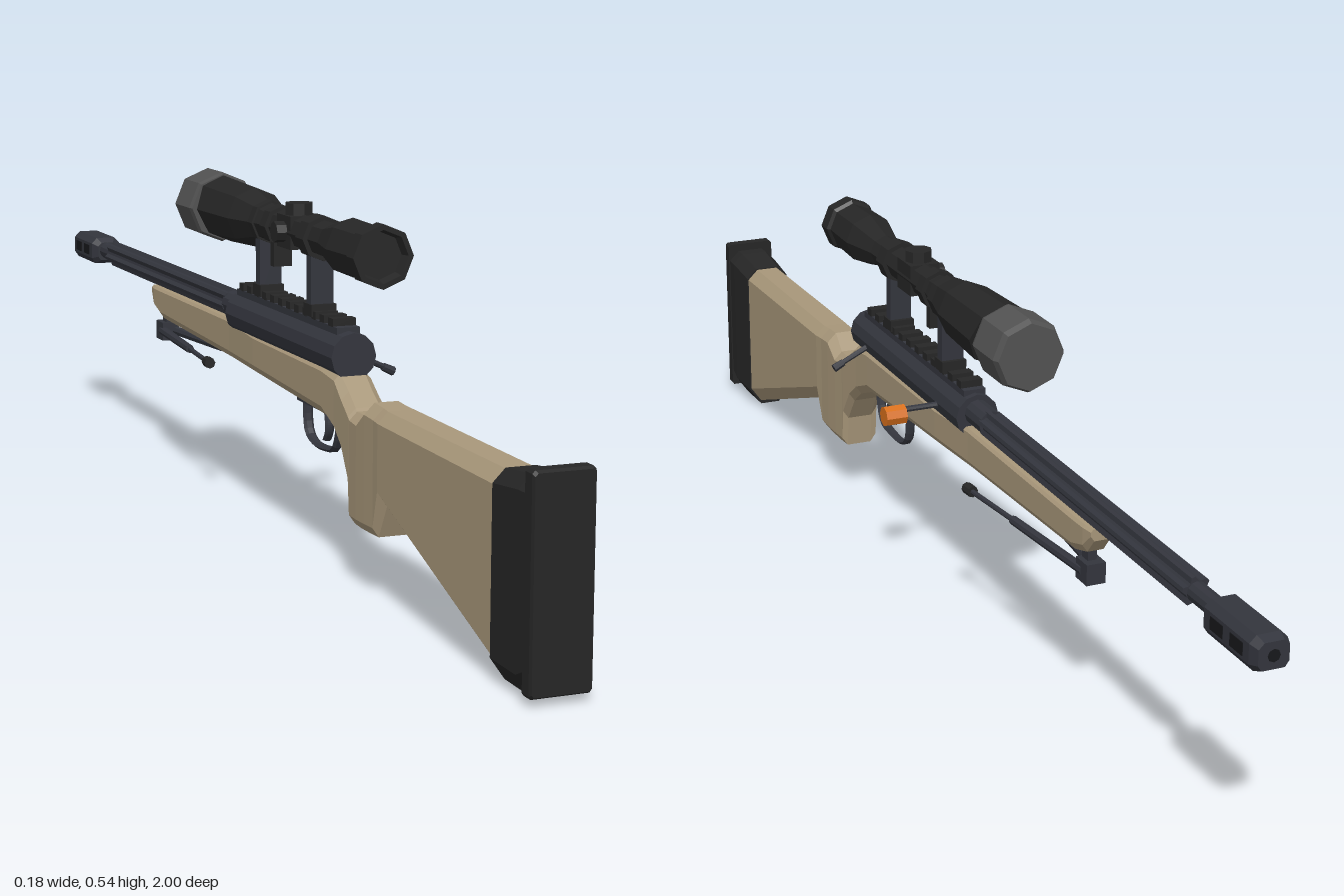
import * as THREE from 'three';

const mat = (color) => new THREE.MeshStandardMaterial({ color, flatShading: true });
const TAN = mat(0xa8977a), STEEL = mat(0x33353d), BLACK = mat(0x262626);
const PORT = mat(0x17181b), GREY = mat(0x525252), ORANGE = mat(0xd9701c);

// Loft through rings of equal length; stations run from +z to -z, rings counter-clockwise seen from +z
function loft(rings) {
  const pos = [], n = rings[0].length;
  const tri = (a, b, c) => pos.push(...a, ...b, ...c);
  for (let s = 0; s < rings.length - 1; s++) {
    const A = rings[s], B = rings[s + 1];
    for (let i = 0; i < n; i++) {
      const j = (i + 1) % n;
      tri(A[i], B[i], B[j]);
      tri(A[i], B[j], A[j]);
    }
  }
  const F = rings[0], L = rings[rings.length - 1];
  for (let i = 1; i < n - 1; i++) {
    tri(F[0], F[i], F[i + 1]);
    tri(L[0], L[i + 1], L[i]);
  }
  const g = new THREE.BufferGeometry();
  g.setAttribute('position', new THREE.Float32BufferAttribute(pos, 3));
  g.computeVertexNormals();
  return g;
}

// Chamfered rectangular section: z, top, bottom, half width, top chamfer, bottom chamfer
function section([z, t, b, w, ct, cb]) {
  return [[w, b + cb, z], [w, t - ct, z], [w - ct, t, z], [ct - w, t, z],
    [-w, t - ct, z], [-w, b + cb, z], [cb * 0.7 - w, b, z], [w - cb * 0.7, b, z]];
}

export function createModel() {
  const root = new THREE.Group();
  root.name = 'scopedRifle';
  root.position.x = -0.034;
  const model = new THREE.Group();
  model.add(root);

  const add = (name, geo, material, x = 0, y = 0, z = 0, parent = root) => {
    const m = new THREE.Mesh(geo, material);
    m.name = name;
    m.position.set(x, y, z);
    parent.add(m);
    return m;
  };
  const box = (w, h, d) => new THREE.BoxGeometry(w, h, d);
  const cylZ = (r, len, n) => new THREE.CylinderGeometry(r, r, len, n).rotateX(-Math.PI / 2);
  const latheZ = (pts, n) => new THREE.LatheGeometry(
    pts.map(([z, r]) => new THREE.Vector2(r, -z)), n).rotateX(-Math.PI / 2);
  // Round rod between two points
  const rod = (name, a, b, ra, rb, material, n = 8) => {
    const p = new THREE.Vector3(...a), q = new THREE.Vector3(...b), d = q.clone().sub(p);
    const m = add(name, new THREE.CylinderGeometry(rb, ra, d.length(), n), material);
    m.position.copy(p).addScaledVector(d, 0.5);
    m.quaternion.setFromUnitVectors(new THREE.Vector3(0, 1, 0), d.normalize());
    return m;
  };

  // Stock with grip and fore-end
  add('stock', loft([
    [0.88, 0.273, 0.01, 0.037, 0.018, 0.026],
    [0.515, 0.277, 0.143, 0.036, 0.016, 0.022],
    [0.495, 0.278, 0.095, 0.034, 0.016, 0.014],
    [0.463, 0.28, 0.094, 0.034, 0.016, 0.014],
    [0.432, 0.256, 0.093, 0.033, 0.014, 0.014],
    [0.403, 0.256, 0.093, 0.031, 0.012, 0.014],
    [0.398, 0.26, 0.145, 0.031, 0.012, 0.014],
    [0.37, 0.279, 0.187, 0.03, 0.012, 0.014],
    [0.34, 0.3, 0.21, 0.029, 0.01, 0.014],
    [0.29, 0.306, 0.23, 0.029, 0.01, 0.014],
    [0, 0.306, 0.243, 0.027, 0.008, 0.013],
    [-0.12, 0.31, 0.247, 0.023, 0.004, 0.012],
    [-0.48, 0.31, 0.258, 0.022, 0.004, 0.012],
    [-0.515, 0.31, 0.268, 0.021, 0.004, 0.012],
    [-0.535, 0.31, 0.292, 0.018, 0.004, 0.008],
  ].map(section)), TAN);

  // Butt end and recoil pad
  add('buttBlock', loft([
    [0.98, 0.283, 0.015, 0.041, 0.018, 0.03],
    [0.955, 0.283, 0.003, 0.041, 0.018, 0.03],
    [0.88, 0.275, 0.003, 0.039, 0.018, 0.03],
  ].map(section)), BLACK);
  add('recoilPad', loft([
    [1, 0.294, 0.016, 0.041, 0.004, 0.004],
    [0.995, 0.297, 0.013, 0.043, 0.004, 0.004],
    [0.977, 0.297, 0.013, 0.043, 0.004, 0.004],
  ].map(section)), BLACK);

  // Receiver and toothed rail
  add('receiver', cylZ(0.035, 0.45, 12), STEEL, 0, 0.324, 0.12);
  add('railBase', box(0.036, 0.012, 0.42), STEEL, 0, 0.358, 0.115);
  for (let i = 0; i < 12; i++) add('railTooth', box(0.036, 0.012, 0.018), BLACK, 0, 0.369, 0.3 - i * 0.034);

  // Barrel: plain root, fluted length, thin neck
  add('barrelRoot', cylZ(0.021, 0.06, 12), STEEL, 0, 0.33, -0.13);
  const flute = new THREE.Shape();
  for (let i = 0; i < 24; i++) {
    const a = (i + 0.5) / 24 * Math.PI * 2, r = i % 4 < 2 ? 0.022 : 0.016;
    flute[i ? 'lineTo' : 'moveTo'](r * Math.cos(a), r * Math.sin(a));
  }
  add('flutedBarrel', new THREE.ExtrudeGeometry(flute, { depth: 0.65, bevelEnabled: false }), STEEL, 0, 0.33, -0.805);
  add('barrelNeck', cylZ(0.015, 0.08, 12), STEEL, 0, 0.33, -0.84);

  // Muzzle brake with side ports
  add('muzzleBrake', loft([
    [-0.86, 0.345, 0.312, 0.018, 0.007, 0.007],
    [-0.872, 0.353, 0.305, 0.027, 0.01, 0.01],
    [-0.985, 0.353, 0.305, 0.027, 0.01, 0.01],
    [-1, 0.348, 0.31, 0.022, 0.008, 0.008],
  ].map(section)), STEEL);
  for (const s of [-1, 1]) for (const z of [-0.905, -0.955]) add('brakePort', box(0.004, 0.018, 0.032), PORT, s * 0.026, 0.329, z);
  add('bore', cylZ(0.009, 0.004, 8), PORT, 0, 0.329, -0.999);

  // Scope body with a slanted front end
  const scope = new THREE.Group();
  scope.name = 'scope';
  scope.position.y = 0.482;
  root.add(scope);
  const body = latheZ([[0.435, 0], [0.435, 0.034], [0.45, 0.038], [0.45, 0.046], [0.425, 0.046], [0.42, 0.041],
    [0.34, 0.043], [0.27, 0.027], [0.04, 0.026], [0, 0.033], [-0.06, 0.047], [-0.19, 0.052], [-0.19, 0]], 8);
  const p = body.attributes.position;
  for (let i = 0; i < p.count; i++) {
    if (p.getZ(i) < -0.18) p.setZ(i, p.getZ(i) - p.getY(i) * 0.36);
  }
  add('scopeBody', body, BLACK, 0, 0, 0, scope);
  add('objectiveCore', cylZ(0.03, 0.08, 8), BLACK, 0, 0, -0.18, scope);
  add('objectiveCap', latheZ([[-0.207, 0], [-0.207, 0.054], [-0.215, 0.057], [-0.285, 0.057],
    [-0.295, 0.052], [-0.295, 0]], 8), GREY, 0, 0, 0, scope);
  // Adjustment turrets
  add('turretBlock', box(0.05, 0.05, 0.055), BLACK, 0, 0, 0.13, scope);
  add('topTurret', new THREE.CylinderGeometry(0.022, 0.022, 0.04, 8), BLACK, 0, 0.023, 0.13, scope);
  add('sideTurret', new THREE.CylinderGeometry(0.016, 0.016, 0.03, 8).rotateZ(Math.PI / 2), BLACK, -0.026, 0, 0.13, scope);
  // Rings and posts
  for (const z of [0.215, 0]) {
    add('scopeRing', cylZ(0.034, 0.03, 8), BLACK, 0, 0, z, scope);
    add('scopePost', box(0.036, 0.1, 0.018), STEEL, 0, -0.07, z, scope);
    add('postFoot', box(0.04, 0.018, 0.032), BLACK, 0, -0.107, z, scope);
  }
  add('middleRing', cylZ(0.032, 0.024, 8), BLACK, 0, 0, 0.055, scope);
  add('middleLug', box(0.03, 0.04, 0.014), BLACK, 0, -0.043, 0.055, scope);

  // Charging handle with bright knob, and bolt lever
  rod('handleRod', [0.03, 0.32, -0.025], [0.095, 0.32, -0.025], 0.005, 0.005, STEEL);
  rod('handleKnob', [0.089, 0.313, -0.025], [0.123, 0.313, -0.025], 0.016, 0.016, ORANGE);
  rod('boltLever', [0.025, 0.317, 0.283], [0.088, 0.288, 0.279], 0.005, 0.004, STEEL);
  rod('leverTip', [0.074, 0.294, 0.28], [0.091, 0.286, 0.279], 0.006, 0.007, STEEL);

  // Trigger guard and trigger
  const strip = (pts, r) => new THREE.TubeGeometry(new THREE.CatmullRomCurve3(
    pts.map(([z, y]) => new THREE.Vector3(0, y, z))), 20, r, 6).scale(1.8, 1, 1);
  add('triggerGuard', strip([[0.3, 0.238], [0.295, 0.205], [0.28, 0.177], [0.25, 0.17],
    [0.2, 0.17], [0.175, 0.182], [0.167, 0.21], [0.167, 0.245]], 0.0045), STEEL);
  add('guardPlate', box(0.026, 0.008, 0.15), STEEL, 0, 0.232, 0.23);
  add('trigger', strip([[0.245, 0.238], [0.252, 0.215], [0.253, 0.198], [0.244, 0.183]], 0.004), STEEL);

  // Folded bipod
  add('bipodBlock', box(0.03, 0.032, 0.035), STEEL, 0, 0.233, -0.502);
  add('bipodMount', box(0.014, 0.03, 0.018), STEEL, 0, 0.257, -0.497);
  for (const s of [-1, 1]) {
    rod('bipodUpperLeg', [s * 0.01, 0.233, -0.5], [s * 0.028, 0.233, -0.3], 0.008, 0.007, STEEL);
    rod('bipodLowerLeg', [s * 0.028, 0.233, -0.3], [s * 0.041, 0.233, -0.17], 0.004, 0.004, STEEL);
    rod('bipodFoot', [s * 0.04, 0.233, -0.18], [s * 0.0415, 0.233, -0.16], 0.009, 0.009, BLACK);
  }
  return model;
}
